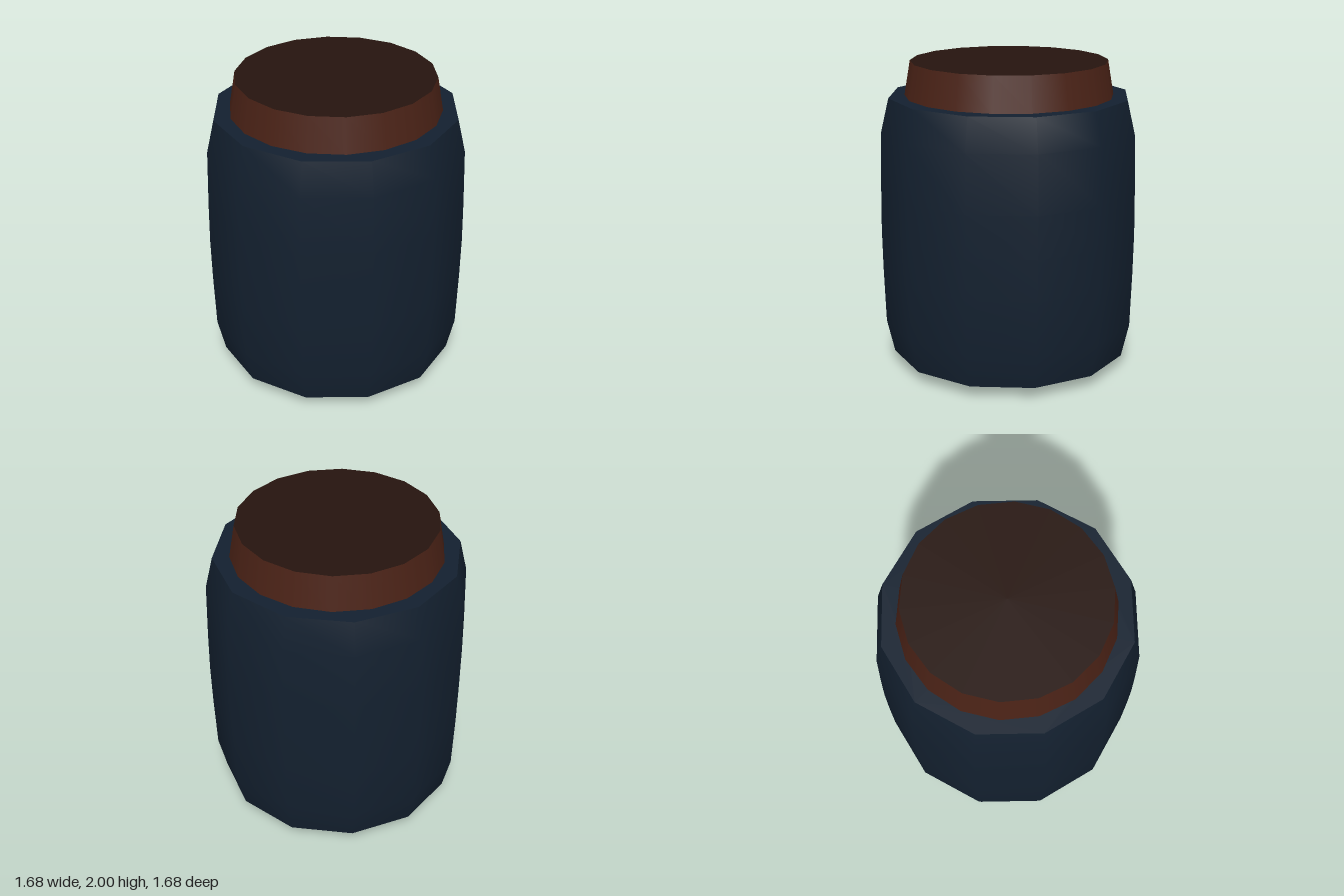
import * as THREE from 'three';

const navy = new THREE.MeshStandardMaterial({ color: 0x13202f });
const wood = new THREE.MeshStandardMaterial({ color: 0x4a2216 });
const darkWood = new THREE.MeshStandardMaterial({ color: 0x26140e });
const black = new THREE.MeshStandardMaterial({ color: 0x0c0d0f });

// Surface of revolution with a corner on the x axis
function turned(name, profile, sides, material) {
  const points = profile.map(([r, y]) => new THREE.Vector2(r, y));
  const mesh = new THREE.Mesh(new THREE.LatheGeometry(points, sides), material);
  mesh.geometry.rotateY(Math.PI / 2);
  mesh.name = name;
  return mesh;
}

function polygon(radius, sides) {
  return Array.from({ length: sides }, (_, i) => {
    const a = (i / sides) * Math.PI * 2;
    return new THREE.Vector2(radius * Math.cos(a), radius * Math.sin(a));
  });
}

// Flat twelve-sided rim around a rounder opening
function rim(name, y, innerRadius, facing) {
  const shape = new THREE.Shape(polygon(0.775, 12));
  shape.holes.push(new THREE.Path(polygon(innerRadius, 18)));
  const mesh = new THREE.Mesh(new THREE.ShapeGeometry(shape), navy);
  mesh.geometry.rotateX(-facing * Math.PI / 2);
  mesh.position.y = y;
  mesh.name = name;
  return mesh;
}

export function createModel() {
  const model = new THREE.Group();
  model.name = 'jar';

  // Bulging body and its flat ends
  model.add(turned('bodyWall', [
    [0.775, 0.08], [0.825, 0.3], [0.836, 0.66], [0.84, 0.93],
    [0.836, 1.2], [0.825, 1.57], [0.775, 1.78],
  ], 12, navy));
  model.add(rim('topRim', 1.78, 0.64, 1));
  model.add(rim('bottomRim', 0.08, 0.64, -1));

  // Tapered stopper
  model.add(turned('stopperSide', [[0.67, 1.77], [0.63, 2]], 18, wood));
  model.add(turned('stopperTop', [[0.63, 2], [0, 2]], 18, darkWood));

  // Recessed wooden ring and shallow dome underneath
  model.add(turned('baseRing', [[0.54, 0.1], [0.64, 0.1]], 18, wood));
  model.add(turned('baseRingWall', [[0.64, 0.1], [0.64, 0.08]], 18, wood));
  model.add(turned('baseDome', [
    [0, 0], [0.2, 0.015], [0.4, 0.053], [0.5, 0.083], [0.56, 0.105],
  ], 16, black));

  return model;
}
